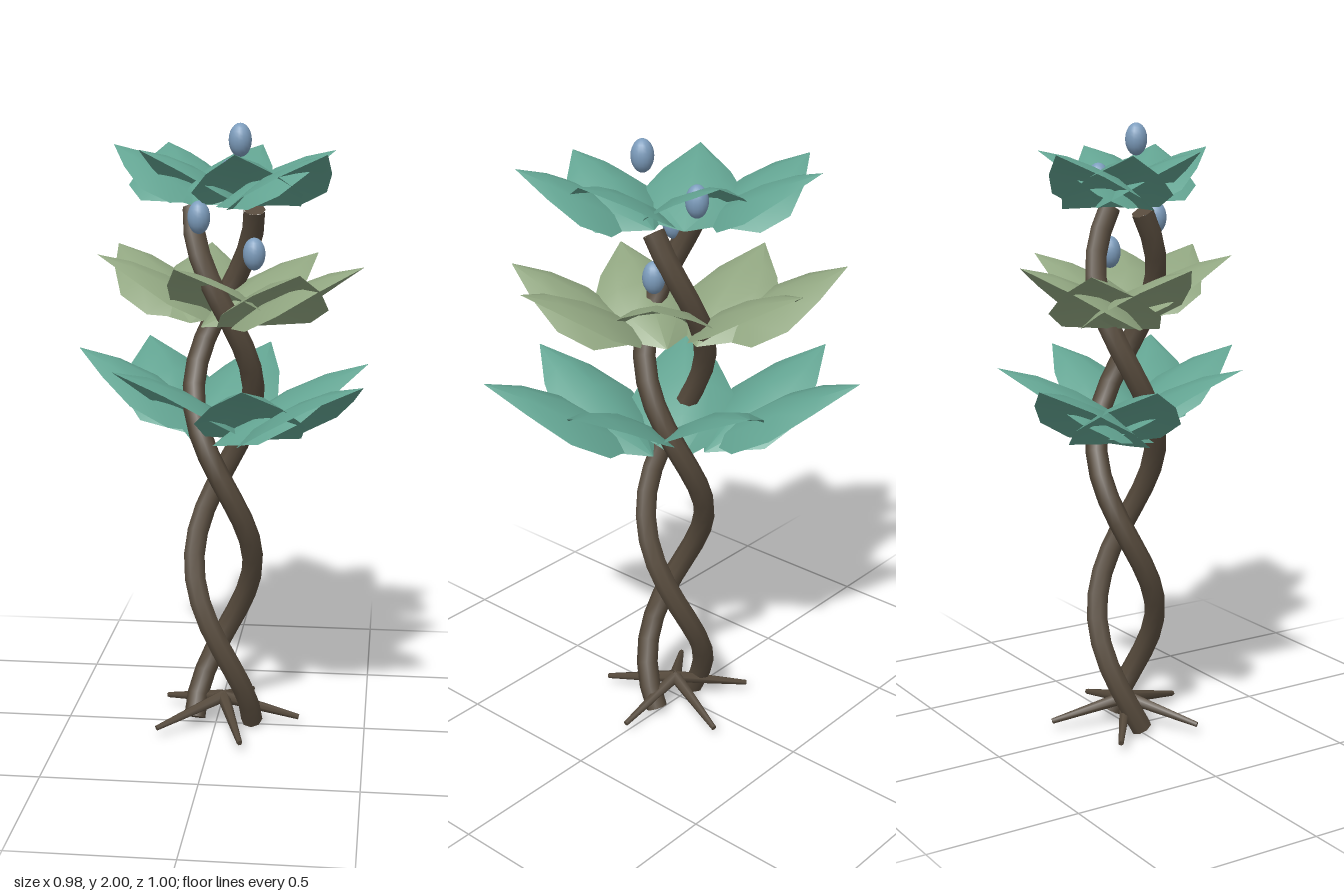
import * as THREE from 'three';

const TAU = Math.PI * 2;
const AXIS_X = 0.025;     // the plant's axis
const COIL = 0.097;       // radius of the twisted stems
const LEAF_RING = 0.107;  // distance of the leaf bases from the axis

const mat = (color, side = THREE.FrontSide) =>
  new THREE.MeshStandardMaterial({ color, side, roughness: 0.85 });

// A broad leaf: starts at the origin, arches up along +z, its sides droop
function leafGeometry(length, rise) {
  const halfWidth = 0.178, droop = 0.075;
  const geo = new THREE.PlaneGeometry(2, 1, 4, 4);
  const p = geo.attributes.position;
  for (let i = 0; i < p.count; i++) {
    const s = p.getX(i), t = p.getY(i) + 0.5;
    const swell = Math.max(0.01, Math.sin(Math.PI * Math.pow(t, 0.8)));
    const y = rise * (1.75 * t - 0.75 * t * t) - droop * s * s * swell;
    p.setXYZ(i, -s * halfWidth * swell, y, t * length);
  }
  geo.computeVertexNormals();
  return geo;
}

// One of the two twisted stems, with flat end caps
function makeStem(phase, material) {
  const stem = new THREE.Group();
  const y0 = 0.017, y1 = 1.73, points = [];
  for (let i = 0; i <= 24; i++) {
    const a = (i / 24) * Math.PI * 3 + phase;
    points.push(new THREE.Vector3(
      AXIS_X + COIL * Math.cos(a), y0 + (y1 - y0) * i / 24, COIL * Math.sin(a)));
  }
  const curve = new THREE.CatmullRomCurve3(points);
  const radius = 0.036;
  const tube = new THREE.Mesh(new THREE.TubeGeometry(curve, 24, radius, 8), material);
  tube.name = 'stemTube';
  stem.add(tube);
  for (const [t, sign] of [[0, -1], [1, 1]]) {
    const cap = new THREE.Mesh(new THREE.CircleGeometry(radius, 8), material);
    cap.name = 'stemEnd';
    cap.position.copy(curve.getPoint(t));
    cap.quaternion.setFromUnitVectors(
      new THREE.Vector3(0, 0, 1), curve.getTangent(t).multiplyScalar(sign));
    stem.add(cap);
  }
  return stem;
}

export function createModel() {
  const model = new THREE.Group();
  model.name = 'twistedPlant';
  const bark = mat(0x564a3c);
  const teal = mat(0x62a391, THREE.DoubleSide);
  const olive = mat(0x90a580, THREE.DoubleSide);
  const blue = mat(0x7d9dbd);

  // Twin stems
  [0, Math.PI].forEach((phase, i) => {
    const stem = makeStem(phase, bark);
    stem.name = i ? 'rightStem' : 'leftStem';
    model.add(stem);
  });

  // Five tapering roots spreading from the axis
  const roots = new THREE.Group();
  roots.name = 'roots';
  for (let k = 0; k < 5; k++) {
    const a = k * TAU / 5;
    const from = new THREE.Vector3(AXIS_X, 0.095, 0);
    const to = new THREE.Vector3(AXIS_X + 0.255 * Math.cos(a), 0.032, 0.255 * Math.sin(a));
    const dir = to.clone().sub(from);
    const root = new THREE.Mesh(new THREE.CylinderGeometry(0.009, 0.022, dir.length(), 6), bark);
    root.name = 'root';
    root.position.copy(from).add(to).multiplyScalar(0.5);
    root.quaternion.setFromUnitVectors(new THREE.Vector3(0, 1, 0), dir.normalize());
    roots.add(root);
  }
  model.add(roots);

  // Three tiers of seven leaves, each tier turned a little further
  const tiers = [
    { name: 'lowerLeaves', y: 0.985, length: 0.5, rise: 0.255, material: teal },
    { name: 'middleLeaves', y: 1.365, length: 0.437, rise: 0.212, material: olive },
    { name: 'upperLeaves', y: 1.745, length: 0.37, rise: 0.173, material: teal },
  ];
  tiers.forEach((tier, n) => {
    const ring = new THREE.Group();
    ring.name = tier.name;
    const geo = leafGeometry(tier.length, tier.rise);
    for (let k = 0; k < 7; k++) {
      const a = k * TAU / 7 + n * 0.4;
      const leaf = new THREE.Mesh(geo, tier.material);
      leaf.name = 'leaf';
      leaf.position.set(AXIS_X + LEAF_RING * Math.cos(a), tier.y, LEAF_RING * Math.sin(a));
      leaf.rotation.y = a;
      ring.add(leaf);
    }
    model.add(ring);
  });

  // Oval berries climbing in a spiral
  const berries = new THREE.Group();
  berries.name = 'berries';
  const berryGeo = new THREE.SphereGeometry(0.036, 16, 12);
  for (let k = 0; k < 4; k++) {
    const a = k * 2.4;
    const berry = new THREE.Mesh(berryGeo, blue);
    berry.name = 'berry';
    berry.scale.y = 1.45;
    berry.position.set(AXIS_X + COIL * Math.cos(a), 1.588 + 0.12 * k, COIL * Math.sin(a));
    berries.add(berry);
  }
  model.add(berries);
  return model;
}
